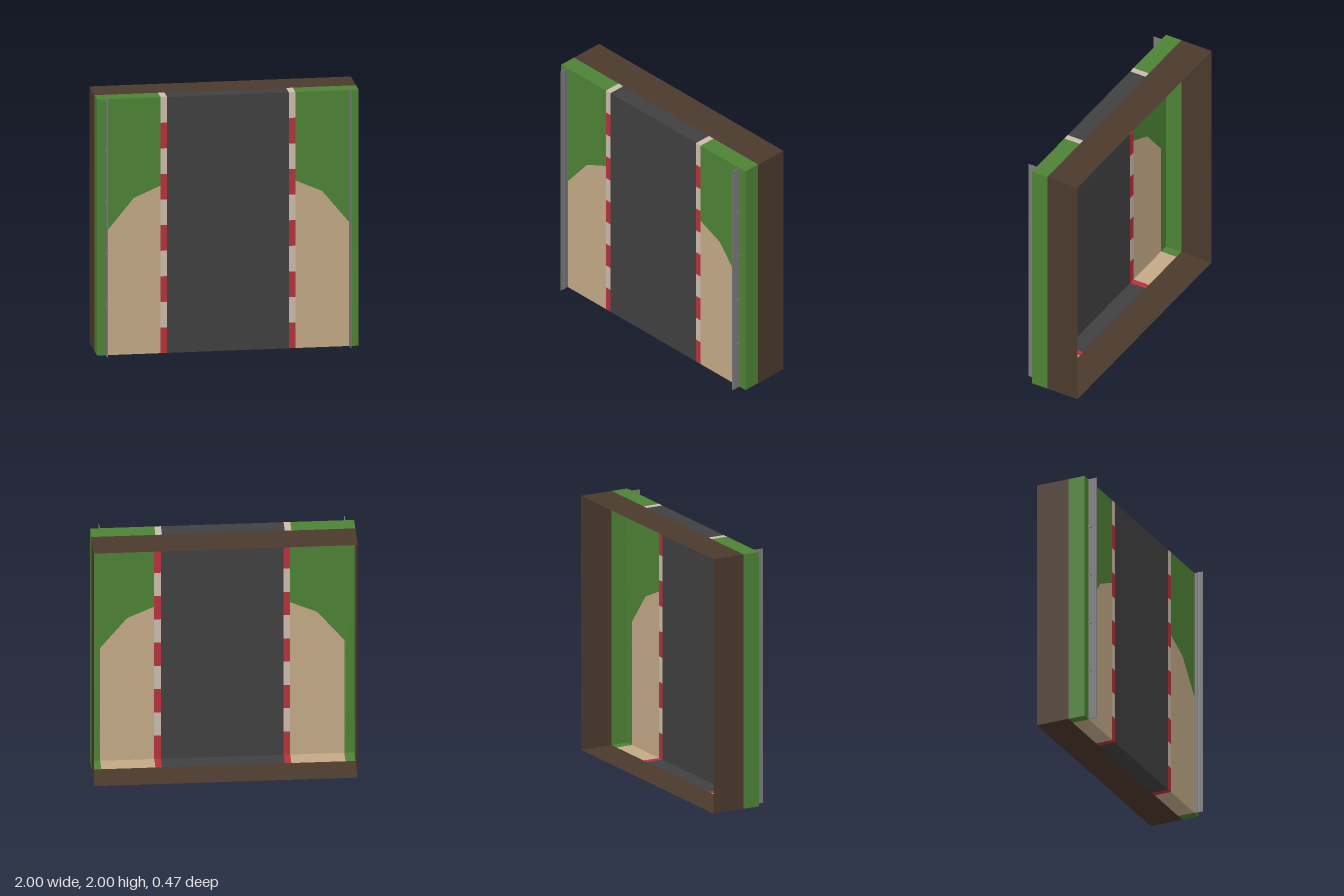
import * as THREE from 'three';

const W = 1, H = 2;                       // half width and height of the tile
const BACK = -0.235, SEAM = 0.03, FRONT = 0.165;
const ROAD = 0.465, KERB = 0.515, SAND = 0.925;

const material = (name, color) => {
  const m = new THREE.MeshStandardMaterial({ color, side: THREE.DoubleSide });
  m.name = name;
  return m;
};

export function createModel() {
  const mats = {
    grass: material('grass green', 0x4d8235),
    sand: material('gravel sand', 0xc3a987),
    road: material('asphalt grey', 0x404040),
    red: material('kerb red', 0xb5323b),
    pale: material('kerb white', 0xcbbbad),
    soil: material('soil brown', 0x4b392c),
    steel: material('rail steel', 0x7b7b7b),
  };
  const model = new THREE.Group();
  model.name = 'trackTile';

  const add = (parent, name, geometry, mat) => {
    const mesh = new THREE.Mesh(geometry, mat);
    mesh.name = name;
    parent.add(mesh);
    return mesh;
  };
  // Flat surface on the front of the tile
  const face = (parent, name, points, mat) => {
    const shape = new THREE.Shape(points.map(([x, y]) => new THREE.Vector2(x, y)));
    add(parent, name, new THREE.ShapeGeometry(shape), mat).position.z = FRONT;
  };
  const rect = (x0, x1, y0, y1) => [[x0, y0], [x1, y0], [x1, y1], [x0, y1]];
  // Rim piece along the top (y = H) or bottom (y = 0)
  const endRim = (parent, name, x0, x1, y, z0, z1, mat) => {
    const g = new THREE.PlaneGeometry(Math.abs(x1 - x0), z1 - z0);
    g.rotateX(y > 0 ? -Math.PI / 2 : Math.PI / 2);
    add(parent, name, g, mat).position.set((x0 + x1) / 2, y, (z0 + z1) / 2);
  };
  // Rim piece along the left or right side
  const sideRim = (parent, name, s, z0, z1, mat) => {
    const g = new THREE.PlaneGeometry(z1 - z0, H);
    g.rotateY(s * Math.PI / 2);
    add(parent, name, g, mat).position.set(s * W, H / 2, (z0 + z1) / 2);
  };

  // Soil frame, open at the back
  for (const y of [0, H]) endRim(model, 'soilEnd', -W, W, y, BACK, SEAM, mats.soil);
  for (const s of [-1, 1]) sideRim(model, 'soilSide', s, BACK, SEAM, mats.soil);

  // Road
  face(model, 'road', rect(-ROAD, ROAD, 0, H), mats.road);
  for (const y of [0, H]) endRim(model, 'roadEnd', -ROAD, ROAD, y, SEAM, FRONT, mats.road);

  for (const s of [-1, 1]) {
    const verge = new THREE.Group();
    verge.name = s > 0 ? 'leftVerge' : 'rightVerge';
    model.add(verge);

    // Grass and gravel trap share a bent border
    const border = [[KERB, 1.31], [0.72, 1.22], [SAND, 0.97], [SAND, 0]];
    const flip = (pts) => pts.map(([x, y]) => [s * x, y]);
    face(verge, 'grass', flip([[W, 0], [W, H], [KERB, H], ...border]), mats.grass);
    face(verge, 'gravelTrap', flip([[KERB, 0], ...border]), mats.sand);
    sideRim(verge, 'grassSide', s, SEAM, FRONT, mats.grass);
    endRim(verge, 'grassTop', s * KERB, s * W, H, SEAM, FRONT, mats.grass);
    endRim(verge, 'grassBottom', s * SAND, s * W, 0, SEAM, FRONT, mats.grass);
    endRim(verge, 'gravelBottom', s * KERB, s * SAND, 0, SEAM, FRONT, mats.sand);

    // Striped kerb
    for (let i = 0; i < 10; i++) {
      face(verge, 'kerbStripe', rect(s * ROAD, s * KERB, i * 0.2, (i + 1) * 0.2),
        i % 2 ? mats.pale : mats.red);
    }
    endRim(verge, 'kerbTop', s * ROAD, s * KERB, H, SEAM, FRONT, mats.pale);
    endRim(verge, 'kerbBottom', s * ROAD, s * KERB, 0, SEAM, FRONT, mats.red);

    // Guard rail: thin plate with a shallow fold, plus posts
    const profile = [[0.929, FRONT], [0.929, 0.185], [0.925, 0.195], [0.929, 0.205], [0.929, 0.235],
      [0.934, 0.235], [0.934, FRONT]];
    const outline = new THREE.Shape(profile.map(([x, z]) => new THREE.Vector2(s * x, -z)));
    const rail = new THREE.ExtrudeGeometry(outline, { depth: H, bevelEnabled: false });
    rail.rotateX(-Math.PI / 2);
    add(verge, 'guardRail', rail, mats.steel);
    for (let y = 0.4; y < H - 0.1; y += 0.4) {
      add(verge, 'railPost', new THREE.BoxGeometry(0.006, 0.014, 0.03), mats.steel)
        .position.set(s * 0.937, y, FRONT + 0.015);
    }
  }
  return model;
}
